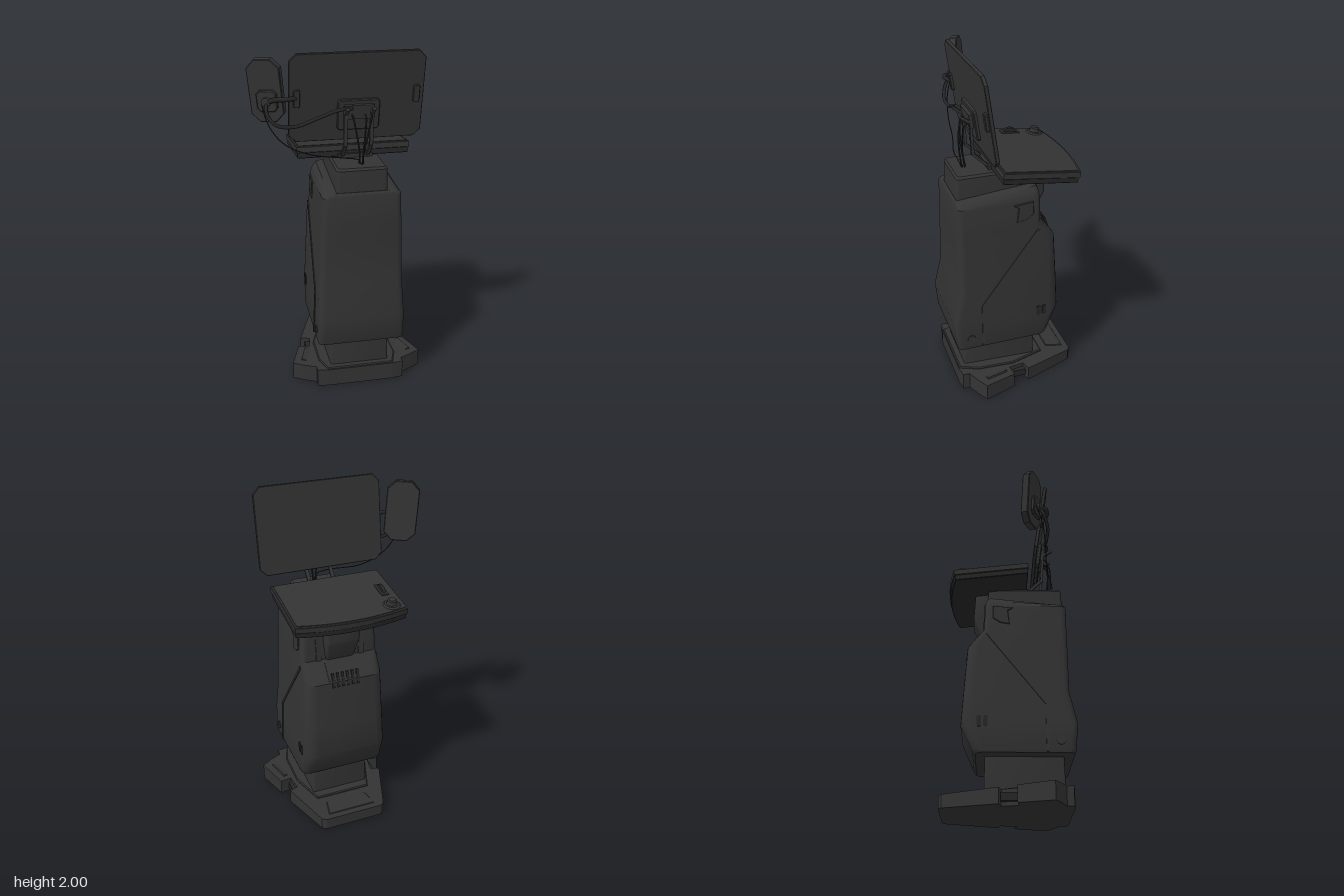
import * as THREE from 'three';
import { toCreasedNormals } from 'three/addons/utils/BufferGeometryUtils.js';

const dark = new THREE.MeshStandardMaterial({ color: 0x333333, side: THREE.DoubleSide });
const trim = new THREE.MeshStandardMaterial({ color: 0x262626 });
const CX = 0.1; // centre line of the cabinet

function add(parent, name, geo, pos = [0, 0, 0], rot = [0, 0, 0], mat = dark) {
  const m = new THREE.Mesh(geo, mat);
  m.name = name;
  m.position.set(...pos);
  m.rotation.set(...rot);
  parent.add(m);
  return m;
}
const box = (w, h, d) => new THREE.BoxGeometry(w, h, d);

// Rounded-rectangle sections [y, frontZ, backZ, halfWidth, frontRadius, backRadius, slope] joined upward
function loft(sections, seg = 5) {
  const rings = sections.map(([y, zf, zb, hw, rf, rb = rf, slope = 0]) => {
    const ring = [];
    for (let k = 0; k < 4; k++) {
      const front = k === 0 || k === 3, r = front ? rf : rb;
      for (let i = 0; i <= seg; i++) {
        const a = (k + i / seg) * Math.PI / 2;
        const x = (k < 2 ? 1 : -1) * (hw - r) + r * Math.sin(a);
        const z = (front ? zf - r : zb + r) + r * Math.cos(a);
        ring.push(new THREE.Vector3(x, y + slope * (zf - z), z));
      }
    }
    return ring;
  });
  const p = [], n = rings[0].length;
  const tri = (...v) => v.forEach(q => p.push(q.x, q.y, q.z));
  const mid = r => r.reduce((s, q) => s.add(q), new THREE.Vector3()).divideScalar(n);
  const lo = rings[0], hi = rings.at(-1), loMid = mid(lo), hiMid = mid(hi);
  for (let j = 0; j < n; j++) {
    const k = (j + 1) % n;
    for (let i = 0; i < rings.length - 1; i++) {
      const a = rings[i], b = rings[i + 1];
      tri(a[j], a[k], b[k]);
      tri(a[j], b[k], b[j]);
    }
    tri(hiMid, hi[j], hi[k]);
    tri(loMid, lo[k], lo[j]);
  }
  const g = new THREE.BufferGeometry();
  g.setAttribute('position', new THREE.Float32BufferAttribute(p, 3));
  return toCreasedNormals(g, 0.5);
}

// Outline in x,y with thickness centred on z
function slab(pts, depth, bevel = 0) {
  const s = new THREE.Shape(pts.map(q => new THREE.Vector2(...q)));
  return new THREE.ExtrudeGeometry(s, {
    depth: depth - 2 * bevel, bevelEnabled: bevel > 0, bevelSize: bevel, bevelOffset: -bevel,
    bevelThickness: bevel, bevelSegments: 1,
  }).translate(0, 0, -depth / 2 + bevel);
}
// Outline in x,z lying flat with its top at y = top
const plate = (pts, depth, top, bevel = 0) =>
  slab(pts, depth, bevel).rotateX(Math.PI / 2).translate(0, top - depth / 2, 0);
const cut = (w, h, c) => [[-w + c, -h], [w - c, -h], [w, -h + c], [w, h - c], [w - c, h], [-w + c, h], [-w, h - c], [-w, -h + c]];
const mirrored = half => [...half, ...half.map(([x, z]) => [-x, z]).reverse()];

function cable(parent, name, pts, r) {
  const c = new THREE.CatmullRomCurve3(pts.map(q => new THREE.Vector3(...q)));
  add(parent, name, new THREE.TubeGeometry(c, 32, r, 6), [0, 0, 0], [0, 0, 0], trim);
}
// Square bar from a to b
function bar(parent, name, a, b, w, d) {
  const A = new THREE.Vector3(...a), dir = new THREE.Vector3(...b).sub(A), len = dir.length();
  const m = add(parent, name, box(w, d, len + d * 0.6), A.addScaledVector(dir, 0.5).toArray());
  m.quaternion.setFromUnitVectors(new THREE.Vector3(0, 0, 1), dir.normalize());
}

function makeBase() {
  const g = new THREE.Group();
  g.name = 'base';
  g.position.x = CX;
  // Foot plate with side notches, its top falling toward the back
  const foot = plate(mirrored([[0.2, 0.355], [0.265, 0.345], [0.265, 0.305], [0.335, 0.272], [0.4, 0.235],
    [0.338, 0.04], [0.27, 0.05], [0.255, -0.045], [0.31, -0.06], [0.205, -0.368], [0.18, -0.385]]), 0.1, 0.1);
  const p = foot.attributes.position;
  for (let i = 0; i < p.count; i++) if (p.getY(i) > 0.05) p.setY(i, 0.074 + 0.05 * (p.getZ(i) + 0.383));
  foot.computeVertexNormals();
  add(g, 'footPlate', foot);
  add(g, 'notchFloor', box(0.57, 0.045, 0.1), [0, 0.045, 0], [0, 0, 0], trim);
  // Raised deck around the column
  add(g, 'deck', plate(mirrored([[0.2, 0.354], [0.24, 0.24], [0.24, 0.02], [0.17, -0.19]]), 0.05, 0.104, 0.006), [0, 0, 0], [-0.045, 0, 0]);
  add(g, 'rearPanel', plate(mirrored([[0.13, -0.24], [0.15, -0.345]]), 0.02, 0.096, 0.004), [0, 0, 0], [-0.045, 0, 0]);
  for (const s of [-1, 1]) bar(g, 'deckRail', [s * 0.325, 0.098, 0.21], [s * 0.29, 0.093, 0.09], 0.04, 0.02);
  add(g, 'column', loft([[0.06, 0.312, -0.14, 0.178, 0.012], [0.34, 0.305, -0.138, 0.175, 0.012]]));
  return g;
}

function makeCabinet() {
  const g = new THREE.Group();
  g.name = 'cabinet';
  g.position.x = CX;
  add(g, 'shell', loft([
    [0.295, 0.362, -0.19, 0.258, 0.03, 0.05],
    [0.31, 0.367, -0.205, 0.262, 0.035, 0.055],
    [0.47, 0.385, -0.276, 0.256, 0.038, 0.07],
    [0.67, 0.342, -0.265, 0.249, 0.038, 0.07],
    [0.955, 0.341, -0.247, 0.238, 0.038, 0.07],
    [1.02, 0.341, -0.19, 0.235, 0.038, 0.05],
    [1.065, 0.34, -0.15, 0.233, 0.038, 0.035],
    [1.215, 0.34, -0.147, 0.226, 0.038, 0.035, 0.01],
    [1.232, 0.335, -0.142, 0.21, 0.036, 0.03, 0.06],
    [1.241, 0.325, -0.13, 0.19, 0.03, 0.025, 0.1]]));
  // Neck and the spine that carries the tray
  add(g, 'neck', loft([[1.2, 0.325, -0.13, 0.147, 0.02], [1.365, 0.32, -0.13, 0.144, 0.02], [1.378, 0.31, -0.12, 0.134, 0.015]]));
  add(g, 'spine', loft([[1.045, 0, -0.15, 0.085, 0.015], [1.19, 0, -0.218, 0.1, 0.02], [1.36, 0, -0.208, 0.105, 0.02], [1.378, 0, -0.195, 0.1, 0.02]]));
  const hw = y => 0.262 - 0.0375 * (y - 0.31);
  for (const s of [-1, 1]) {
    const at = (z, y) => [s * hw(y), y, z];
    // Seam between the front and rear covers
    bar(g, 'seam', at(0.21, 0.305), at(0.21, 0.58), 0.012, 0.014);
    bar(g, 'seam', at(0.21, 0.58), at(-0.13, 1.025), 0.012, 0.014);
    for (const z of [-0.135, -0.172]) add(g, 'sideSlot', slab(cut(0.012, 0.033, 0.006), 0.01), at(z, 0.475), [0, Math.PI / 2, 0], trim);
    add(g, 'sideCap', new THREE.CylinderGeometry(0.025, 0.025, 0.012, 16), at(0.285, 0.365), [0, 0, Math.PI / 2]);
    // Grip near the shoulder
    add(g, 'sideGrip', slab([[-0.02, 1.2], [0.1, 1.212], [0.1, 1.13], [0.055, 1.1], [0, 1.09], [0.01, 1.18]].map(([z, y]) => [z, y - 1.15]), 0.01, 0.003),
      at(0, 1.15), [0, Math.PI / 2, 0]);
    // Cheeks flanking the spine
    bar(g, 'cheek', [s * 0.13, 1.07, -0.145], [s * 0.135, 1.25, -0.138], 0.03, 0.025);
  }
  // Dark channel running down over the hump, ending in louvres
  bar(g, 'rearChannel', [0, 1.05, -0.164], [0, 0.965, -0.239], 0.2, 0.008);
  for (let i = 0; i < 6; i++) add(g, 'rearVent', box(0.014, 0.085, 0.012), [(i - 2.5) * 0.03, 0.965, -0.24], [0.3, 0, 0], trim);
  return g;
}

function makeTray() {
  const g = new THREE.Group();
  g.name = 'tray';
  g.position.set(0.0925, 1.439, 0);
  g.rotation.x = -0.121;
  const outline = (w, f, b, bow) => {
    const pts = [[-w, f], [w, f]];
    for (let i = 0; i <= 12; i++) {
      const t = 1 - i / 6;
      pts.push([w * t, b - bow * (1 - t * t)]);
    }
    return pts;
  };
  add(g, 'trayTop', plate(outline(0.328, 0.108, -0.338, 0.04), 0.036, 0, 0.003));
  add(g, 'trayUnderside', plate(outline(0.322, 0.102, -0.333, 0.04), 0.036, -0.032, 0.003), [0, 0, 0], [0, 0, 0], trim);
  add(g, 'trayMat', plate(outline(0.316, 0.096, -0.326, 0.039), 0.008, 0.004));
  // Rotary knob on its collar
  const knob = [[0, 0.04], [0.02, 0.04], [0.027, 0.034], [0.03, 0.012], [0.042, 0.012], [0.053, 0.002], [0.053, -0.005]]
    .reverse().map(q => new THREE.Vector2(...q));
  add(g, 'knob', toCreasedNormals(new THREE.LatheGeometry(knob, 24), 0.5), [-0.2525, 0, -0.283]);
  // Raised slot with a domed wheel
  add(g, 'sliderFrame', box(0.042, 0.012, 0.115), [-0.2575, 0.005, -0.125]);
  add(g, 'sliderWheel', new THREE.CylinderGeometry(0.05, 0.05, 0.02, 24), [-0.2575, -0.015, -0.125], [0, 0, Math.PI / 2], trim);
  return g;
}

function makeMonitor() {
  const g = new THREE.Group();
  g.name = 'monitor';
  g.position.set(0.09, 1.75, 0.186);
  g.rotation.x = 0.145;
  add(g, 'screenPanel', slab(cut(0.375, 0.252, 0.04), 0.022, 0.003));
  for (const s of [-1, 1]) add(g, 'sideTab', slab(cut(0.018, 0.05, 0.007), 0.022, 0.003), [s * 0.332, 0.007, 0.016]);
  add(g, 'mountPlate', slab(cut(0.118, 0.088, 0.012), 0.024, 0.005), [0.01, -0.098, 0.018]);
  add(g, 'mountBox', box(0.17, 0.08, 0.024), [0.01, -0.075, 0.036]);
  return g;
}

function makeSideMonitor() {
  const g = new THREE.Group();
  g.name = 'sideMonitor';
  g.position.set(-0.396, 1.79, 0.125);
  g.rotation.set(0.09, -0.44, 0.065, 'YXZ');
  add(g, 'sidePanel', slab(cut(0.094, 0.175, 0.048), 0.045, 0.004));
  add(g, 'sideMount', slab(cut(0.058, 0.06, 0.02), 0.024, 0.005), [0.01, -0.05, 0.032]);
  add(g, 'sidePivot', new THREE.CylinderGeometry(0.026, 0.026, 0.024, 16), [0.01, -0.05, 0.05], [Math.PI / 2, 0, 0]);
  return g;
}

export function createModel() {
  const root = new THREE.Group();
  root.name = 'consoleStand';
  root.add(makeBase(), makeCabinet(), makeTray(), makeMonitor(), makeSideMonitor());
  // Twin struts from the neck to the monitor mount
  for (const x of [0.025, 0.172]) {
    const pts = [[x, 1.375, 0.1], [x, 1.475, 0.205], [x, 1.66, 0.215], [x, 1.695, 0.265]];
    for (let i = 0; i < 3; i++) bar(root, 'strut', pts[i], pts[i + 1], 0.02, 0.016);
  }
  add(root, 'strutFoot', box(0.2, 0.03, 0.05), [0.1, 1.385, 0.1]);
  // Arm joining the two screens, and the loose cables
  cable(root, 'sideArm', [[-0.39, 1.74, 0.18], [-0.36, 1.755, 0.21], [-0.3, 1.758, 0.225], [-0.235, 1.757, 0.2]], 0.013);
  cable(root, 'thickCable', [[-0.4, 1.74, 0.17], [-0.405, 1.68, 0.2], [-0.36, 1.62, 0.222], [-0.26, 1.605, 0.222], [-0.12, 1.65, 0.222], [-0.02, 1.69, 0.24], [0.06, 1.695, 0.23]], 0.01);
  cable(root, 'thinCable', [[-0.43, 1.74, 0.15], [-0.4, 1.62, 0.19], [-0.32, 1.51, 0.21], [-0.18, 1.445, 0.225], [0.02, 1.425, 0.27], [0.09, 1.41, 0.265], [0.11, 1.37, 0.25]], 0.003);
  for (const [x0, x1, z] of [[0.06, 0.1, 0.235], [0.13, 0.115, 0.255], [0.165, 0.12, 0.24]])
    cable(root, 'mountCable', [[x0, 1.65, 0.2], [x0, 1.65, z], [(x0 + x1) / 2, 1.55, z + 0.015], [x1, 1.43, z + 0.005], [x1, 1.37, z - 0.005]], 0.005);
  return root;
}
